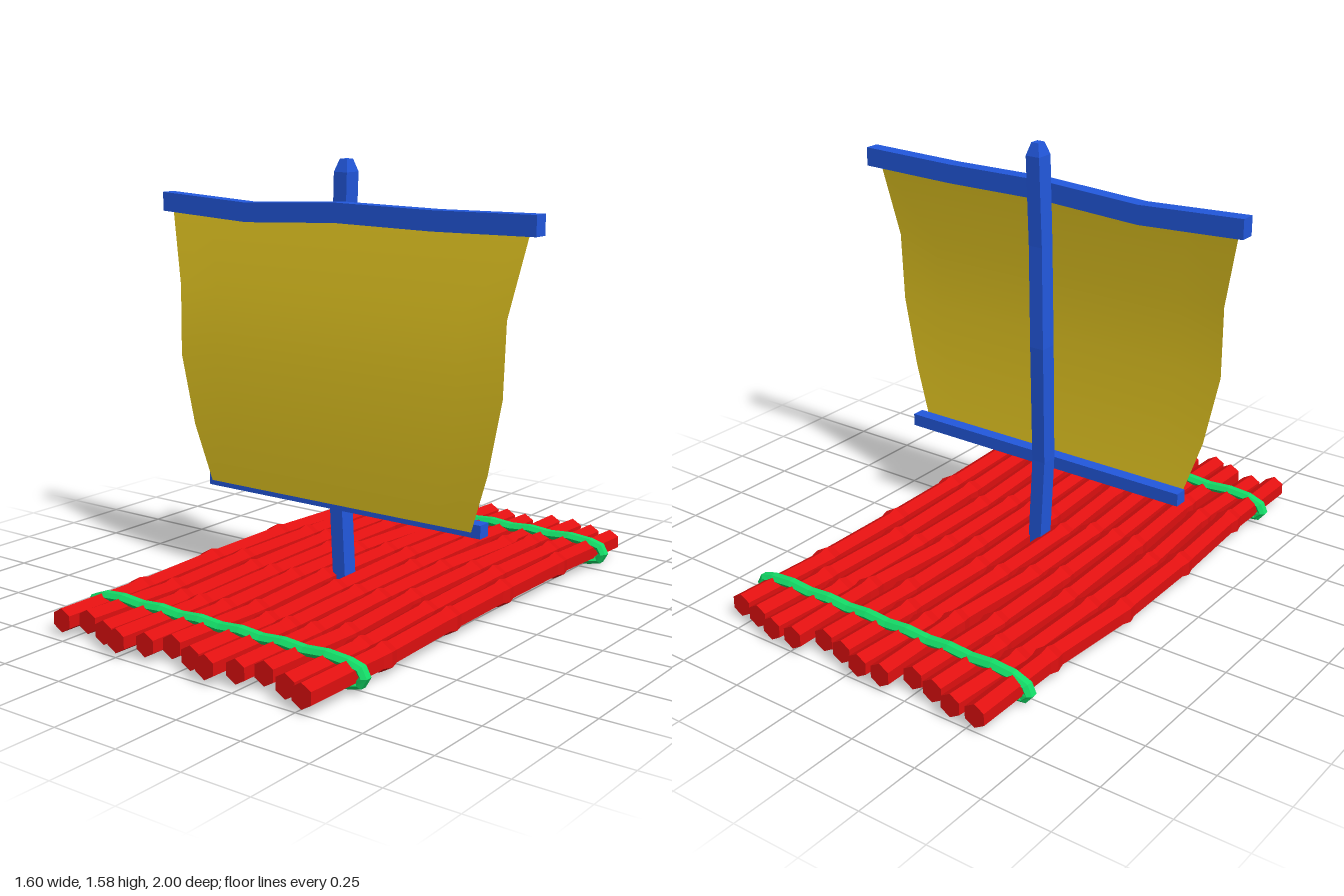
import * as THREE from 'three';

const paint = (color, extra = {}) => new THREE.MeshStandardMaterial({ color, flatShading: true, ...extra });
const V = (x, y, z) => new THREE.Vector3(x, y, z);

// Skin a row of cross-sections, each counter-clockwise around the direction of travel
function loft(rings, closed = false) {
  const pos = [];
  const tri = (a, b, c) => pos.push(...a.toArray(), ...b.toArray(), ...c.toArray());
  const n = rings[0].length, last = rings.length - 1;
  for (let r = 0; r < rings.length - (closed ? 0 : 1); r++) {
    const a = rings[r], b = rings[(r + 1) % rings.length];
    for (let i = 0; i < n; i++) {
      const j = (i + 1) % n;
      tri(a[i], a[j], b[j]);
      tri(a[i], b[j], b[i]);
    }
  }
  if (!closed) {
    for (let i = 1; i < n - 1; i++) {
      tri(rings[0][0], rings[0][i + 1], rings[0][i]);
      tri(rings[last][0], rings[last][i], rings[last][i + 1]);
    }
  }
  const geo = new THREE.BufferGeometry();
  geo.setAttribute('position', new THREE.Float32BufferAttribute(pos, 3));
  geo.computeVertexNormals();
  return geo;
}

const SQUARE = [[1, 1], [-1, 1], [-1, -1], [1, -1]];
const HEX = Array.from({ length: 6 }, (_, i) => {
  const a = Math.PI / 6 + i * Math.PI / 3;
  return [Math.cos(a), Math.sin(a)];
});

// Bamboo poles: four variants of ends, knot positions and sideways bends
const POLES = [
  { back: -1.0, front: 0.97, knots: [-0.61, -0.21, 0.19, 0.59], bend: [0, 0, -0.025, -0.02, 0, 0] },
  { back: -1.0, front: 0.93, knots: [-0.68, -0.27, 0.12, 0.53], bend: [0, -0.02, -0.025, -0.025, 0, -0.015] },
  { back: -0.97, front: 0.97, knots: [-0.65, -0.27, 0.2, 0.6], bend: [0, -0.015, -0.025, -0.01, 0.01, 0.005] },
  { back: -0.95, front: 1.0, knots: [-0.54, -0.15, 0.2, 0.6], bend: [0, -0.02, -0.02, -0.015, 0, -0.005] },
];

function poleGeometry({ back, front, knots, bend }) {
  const rings = [];
  const ring = (z, x, r) => rings.push(HEX.map(([c, s]) => V(x + c * r, s * r, z)));
  ring(back, bend[0], 0.043);
  knots.forEach((z, k) => {
    const x = bend[k + 1];
    ring(z - 0.035, x, 0.043);
    ring(z, x, 0.052);
    ring(z + 0.035, x, 0.043);
  });
  ring(front, bend[5], 0.043);
  return loft(rings);
}

// Wavy lashing looped around all the poles
function lashingGeometry() {
  const path = [];
  const N = 12;
  for (let i = 0; i <= N; i++) {
    const x = 0.53 - 1.06 * i / N;
    path.push([x, 0.098 + (i % 2 ? 0.004 : -0.003), 0, 1]);
  }
  path.push([-0.577, 0.079, -0.8, 0.6], [-0.592, 0.05, -1, 0], [-0.57, 0.028, -0.7, -0.7]);
  for (let i = 0; i <= N; i++) {
    const x = -0.53 + 1.06 * i / N;
    path.push([x, 0.023 + (i % 2 ? -0.003 : 0.004), 0, -1]);
  }
  path.push([0.57, 0.034, 0.7, -0.7], [0.587, 0.06, 1, 0], [0.572, 0.085, 0.7, 0.7]);
  return loft(path.map(([x, y, nx, ny]) =>
    HEX.map(([c, s]) => V(x + nx * c * 0.018, y + ny * c * 0.018, -s * 0.024))), true);
}

export function createModel() {
  const model = new THREE.Group();
  const add = (name, geo, mat, x = 0, y = 0, z = 0, parent = model) => {
    const m = new THREE.Mesh(geo, mat);
    m.name = name;
    m.position.set(x, y, z);
    parent.add(m);
    return m;
  };
  const red = paint(0xe01010), green = paint(0x14dd68), blue = paint(0x2258dd);

  // Deck
  const deck = new THREE.Group();
  deck.name = 'deck';
  model.add(deck);
  const poles = POLES.map(poleGeometry);
  for (let i = 0; i < 12; i++) add('pole', poles[i % 4], red, -0.533 + 0.0965 * i, 0.0625, 0, deck);

  // Lashings
  const lashing = lashingGeometry();
  add('frontLashing', lashing, green, 0, 0, 0.765);
  add('backLashing', lashing, green, 0, 0, -0.785);

  // Mast, gently crooked with a tapered tip: x, y, z, half width, half depth
  const mast = [
    [-0.025, 0.04, 0.055, 0.027, 0.032], [-0.043, 0.4, 0.055, 0.027, 0.032],
    [-0.045, 0.85, 0.04, 0.028, 0.033], [-0.027, 1.22, 0.055, 0.028, 0.032],
    [-0.015, 1.54, 0.055, 0.028, 0.034], [-0.014, 1.585, 0.055, 0.015, 0.018],
  ];
  add('mast', loft(mast.map(([x, y, z, w, d]) =>
    SQUARE.map(([a, b]) => V(x + b * w, y, z + a * d)))), blue);

  // Upper yard, slightly bent
  const yard = [[-0.8, 1.405], [-0.4, 1.385], [0, 1.405], [0.4, 1.4], [0.797, 1.406]];
  add('upperYard', loft(yard.map(([x, y]) =>
    SQUARE.map(([a, b]) => V(x, y + a * 0.035, 0.116 + b * 0.028)))), blue);

  // Lower spar
  add('lowerSpar', new THREE.BoxGeometry(1.2, 0.047, 0.05), blue, 0.008, 0.374, 0.12);

  // Sail, bellied forward: half width, y, z
  const outline = [
    [0.575, 0.37, 0.15], [0.645, 0.58, 0.164], [0.7, 0.84, 0.169], [0.705, 1.1, 0.16], [0.765, 1.38, 0.127],
  ];
  const sail = new THREE.PlaneGeometry(2, 1, 8, outline.length - 1);
  const p = sail.attributes.position;
  for (let i = 0; i < p.count; i++) {
    const [w, y, z] = outline[Math.round((p.getY(i) + 0.5) * (outline.length - 1))];
    p.setXYZ(i, p.getX(i) * w, y, z);
  }
  sail.computeVertexNormals();
  add('sail', sail, paint(0xe6c822, { flatShading: false, side: THREE.DoubleSide }));

  return model;
}
